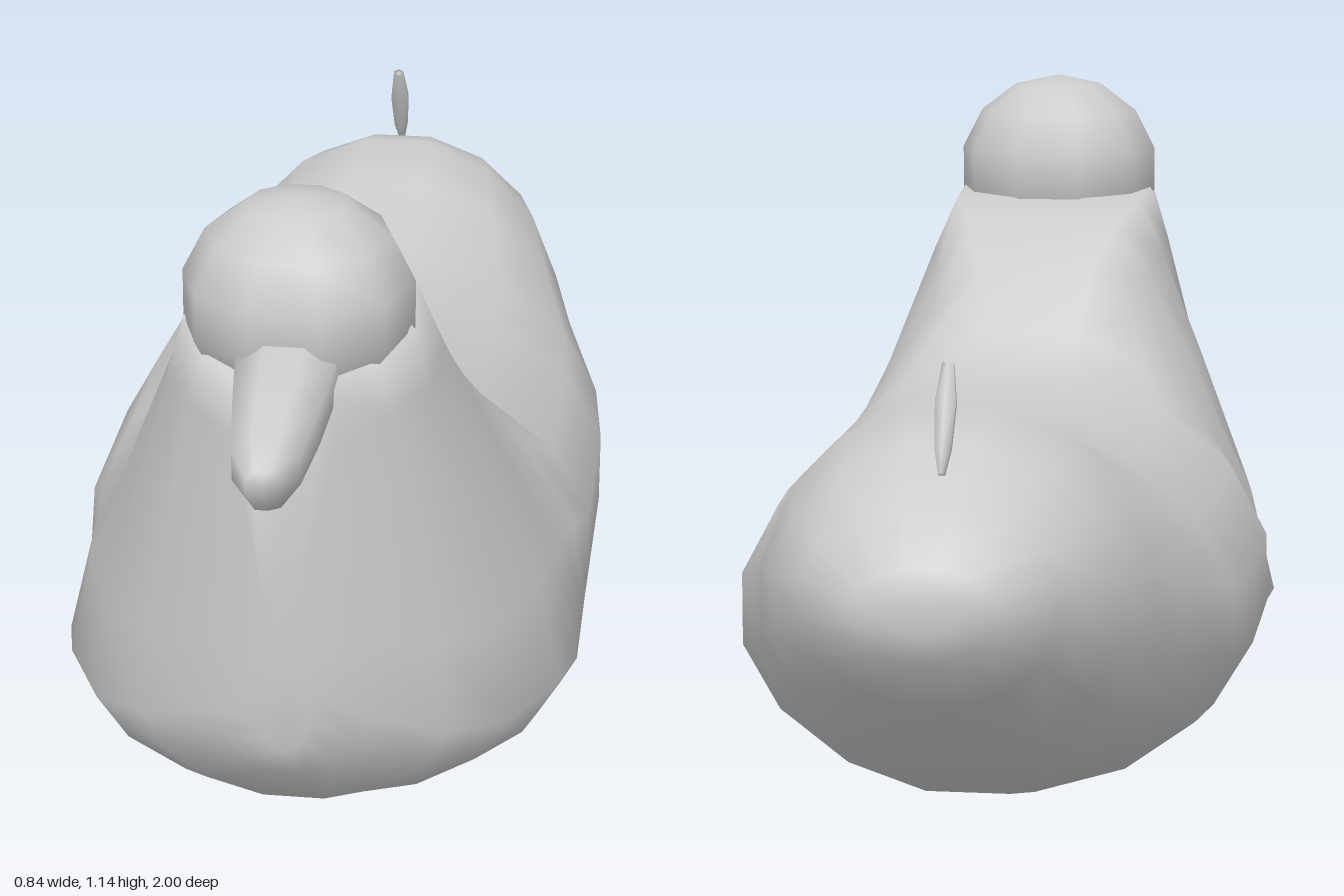
import * as THREE from 'three';

const material = new THREE.MeshStandardMaterial({ color: 0xcccccc, side: THREE.DoubleSide });
const lerp = THREE.MathUtils.lerp;

function part(name, geometry) {
  const mesh = new THREE.Mesh(geometry, material);
  mesh.name = name;
  return mesh;
}

// Skins a row of cross-sections that run from front (+z) to back.
// Section: [z, bottom y, top y, half width, y of widest point, half width at top, taper 0 round .. 1 straight]
function loft(sections, sides) {
  const pos = [], index = [];
  const sinMax = Math.cos(Math.PI / sides); // highest point of a ring with a flat top edge
  for (const [z, bottom, top, w, wide, topW = 0, taper = 0] of sections) {
    for (let j = 0; j < sides; j++) {
      const a = ((j + 0.5) / sides) * Math.PI * 2;
      const s = Math.sin(a) / sinMax, c = Math.cos(a);
      let x = w * Math.abs(c);
      if (s > 0) x = topW + (w - topW) * lerp(Math.abs(c), 1 - s, taper);
      const y = s > 0 ? lerp(wide, top, s) : lerp(wide, bottom, -s);
      pos.push(Math.sign(c) * x, y, z);
    }
  }
  const last = sections.length - 1;
  for (let i = 0; i < last; i++) {
    for (let j = 0; j < sides; j++) {
      const k = (j + 1) % sides;
      const a = i * sides + j, b = a + sides, c = i * sides + k, d = c + sides;
      index.push(a, b, c, b, d, c);
    }
  }
  // end caps
  for (const i of [0, last]) {
    const centre = pos.length / 3;
    pos.push(0, sections[i][4], sections[i][0]);
    for (let j = 0; j < sides; j++) {
      const a = i * sides + j, b = i * sides + ((j + 1) % sides);
      if (i === 0) index.push(centre, a, b);
      else index.push(centre, b, a);
    }
  }
  const g = new THREE.BufferGeometry();
  g.setAttribute('position', new THREE.Float32BufferAttribute(pos, 3));
  g.setIndex(index);
  g.computeVertexNormals();
  return g;
}

export function createModel() {
  const duck = new THREE.Group();
  duck.name = 'duck';

  // breast and neck rise at the front, then the saddle and the raised rump
  duck.add(part('body', loft([
    [0.795, 0.30, 0.58, 0.05, 0.42, 0.02, 0.5],
    [0.775, 0.25, 0.90, 0.14, 0.38, 0.06, 0.8],
    [0.70, 0.16, 0.93, 0.25, 0.33, 0.13, 0.9],
    [0.62, 0.12, 0.95, 0.335, 0.31, 0.17, 0.9],
    [0.45, 0.04, 0.94, 0.41, 0.31, 0.16, 0.9],
    [0.36, 0.01, 0.90, 0.43, 0.31, 0.12, 0.8],
    [0.27, 0.014, 0.83, 0.43, 0.32, 0.07, 0.6],
    [0.19, 0.018, 0.73, 0.43, 0.33, 0.03, 0.3],
    [0.13, 0.02, 0.66, 0.43, 0.33],
    [-0.18, 0.038, 0.65, 0.43, 0.33],
    [-0.35, 0.05, 0.65, 0.41, 0.34],
    [-0.55, 0.10, 0.705, 0.345, 0.38],
    [-0.67, 0.14, 0.74, 0.31, 0.42],
    [-0.80, 0.22, 0.70, 0.27, 0.45],
    [-0.93, 0.33, 0.63, 0.20, 0.49],
    [-0.99, 0.41, 0.55, 0.11, 0.48],
    [-1.0, 0.45, 0.51, 0.05, 0.48],
  ], 16)));

  // head
  const head = part('head', new THREE.SphereGeometry(1, 10, 7));
  head.scale.set(0.182, 0.172, 0.175);
  head.position.set(0, 0.98, 0.605);
  duck.add(head);

  // bill, tapering forward and down
  duck.add(part('bill', loft([
    [1.0, 0.82, 0.88, 0.025, 0.86],
    [0.95, 0.80, 0.91, 0.055, 0.87],
    [0.85, 0.81, 0.945, 0.07, 0.89],
    [0.74, 0.835, 0.98, 0.083, 0.92],
    [0.70, 0.86, 0.97, 0.07, 0.92],
  ], 8)));

  // small tail feather standing on the rump
  duck.add(part('tailFeather', loft([
    [0.08, -0.008, 0.008, 0.010, 0],
    [0.02, -0.012, 0.012, 0.018, 0],
    [-0.05, -0.012, 0.012, 0.014, 0],
    [-0.09, -0.005, 0.005, 0.006, 0],
  ], 6)));
  const feather = duck.children[duck.children.length - 1];
  feather.position.set(-0.01, 0.75, -0.838);
  feather.rotation.x = -1.15;

  return duck;
}
